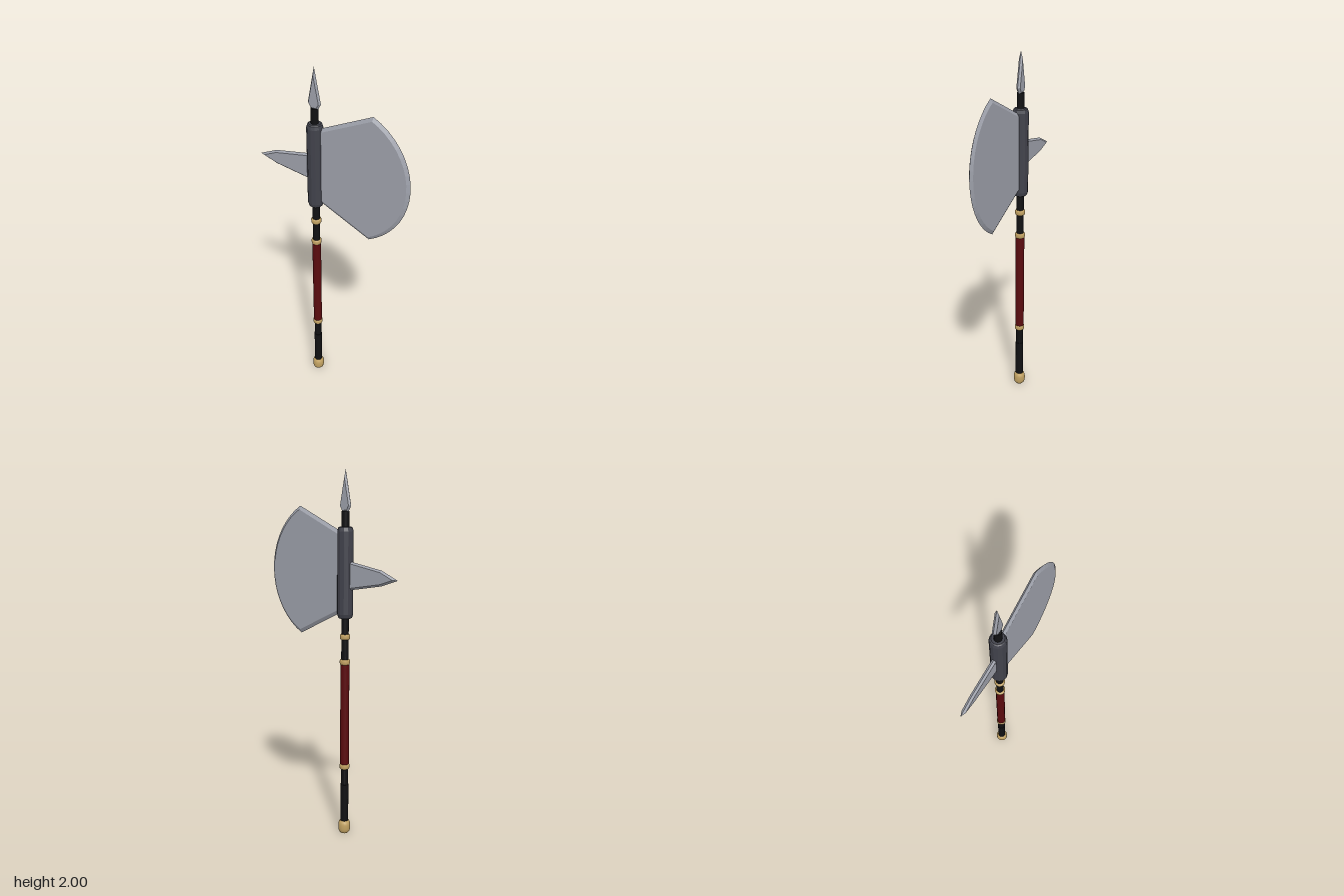
import * as THREE from 'three';

const material = (name, color, flatShading = false) => {
  const m = new THREE.MeshStandardMaterial({ color, flatShading });
  m.name = name;
  return m;
};

// Flat plate from a convex counter-clockwise outline, bevelled to a sharp rim at z = 0
function bevelledPlate(outline, inset, half) {
  const n = outline.length;
  const pts = outline.map(([x, y]) => new THREE.Vector2(x, y));
  const inner = pts.map((p, i) => {
    const a = p.clone().sub(pts[(i + n - 1) % n]).normalize();
    const b = pts[(i + 1) % n].clone().sub(p).normalize();
    const na = new THREE.Vector2(-a.y, a.x);
    const nb = new THREE.Vector2(-b.y, b.x);
    const miter = na.clone().add(nb);
    return miter.multiplyScalar(inset / (1 + na.dot(nb))).add(p);
  });
  const centre = inner.reduce((s, p) => s.add(p), new THREE.Vector2()).divideScalar(n);
  const pos = [];
  const tri = (a, b, c) => pos.push(...a, ...b, ...c);
  for (let i = 0; i < n; i++) {
    const j = (i + 1) % n;
    for (const s of [1, -1]) {
      const [k, l] = s > 0 ? [i, j] : [j, i];
      const o1 = [pts[k].x, pts[k].y, 0], o2 = [pts[l].x, pts[l].y, 0];
      const i1 = [inner[k].x, inner[k].y, s * half], i2 = [inner[l].x, inner[l].y, s * half];
      tri(o1, o2, i2);
      tri(o1, i2, i1);
      tri([centre.x, centre.y, s * half], i1, i2);
    }
  }
  const g = new THREE.BufferGeometry();
  g.setAttribute('position', new THREE.Float32BufferAttribute(pos, 3));
  g.computeVertexNormals();
  return g;
}

export function createModel() {
  const root = new THREE.Group();
  root.name = 'halberd';
  const steel = material('steel', 0x9fa2ac, true);
  const iron = material('dark iron', 0x41424b, true);
  const wood = material('black wood', 0x101012);
  const leather = material('red leather', 0x5a0b0e);
  const brass = material('brass', 0xc2a262);
  const axis = -0.1;

  const add = (name, geometry, mat, x = 0, y = 0) => {
    const mesh = new THREE.Mesh(geometry, mat);
    mesh.name = name;
    mesh.position.set(x, y, 0);
    root.add(mesh);
  };
  const rod = (name, r, y0, y1, mat) =>
    add(name, new THREE.CylinderGeometry(r, r, y1 - y0, 16), mat, axis, (y0 + y1) / 2);
  const turned = (name, profile, mat, y = 0, sides = 16) =>
    add(name, new THREE.LatheGeometry(profile.map(([r, h]) => new THREE.Vector2(r, h)), sides), mat, axis, y);

  // Shaft and grip
  rod('shaft', 0.02, 0.05, 1.79, wood);
  rod('lowerShaft', 0.0225, 0.05, 0.29, wood);
  rod('grip', 0.0245, 0.4, 0.985, leather);

  // Brass bands and pommel
  for (const y of [0.397, 0.992, 1.13]) {
    turned('band', [[0.018, -0.014], [0.025, -0.014], [0.028, -0.007], [0.028, 0.007],
      [0.025, 0.014], [0.018, 0.014]], brass, y);
  }
  turned('pommel', [[0, 0], [0.022, 0], [0.03, 0.009], [0.034, 0.025], [0.034, 0.05],
    [0.03, 0.066], [0.022, 0.074], [0, 0.074]], brass);

  // Collar holding the head
  turned('collar', [[0, 1.23], [0.032, 1.23], [0.038, 1.235], [0.043, 1.253], [0.043, 1.687],
    [0.038, 1.705], [0.032, 1.71], [0, 1.71]], iron, 0, 12);

  // Axe blade with a curved cutting edge
  const blade = [[axis, 1.672], [axis, 1.272]];
  const cx = 0.043, cy = 1.468, radius = 0.394, sweep = Math.atan2(0.351, 0.179), steps = 18;
  for (let i = 0; i <= steps; i++) {
    const a = -sweep + (2 * sweep * i) / steps;
    blade.push([cx + radius * Math.cos(a), cy + radius * Math.sin(a)]);
  }
  add('axeBlade', bevelledPlate(blade, 0.018, 0.011), steel);

  // Rear spike
  add('rearSpike', bevelledPlate([[axis, 1.538], [-0.34, 1.495], [-0.44, 1.45], [-0.34, 1.416],
    [axis, 1.376]], 0.01, 0.011), steel);

  // Spear point
  add('spearPoint', bevelledPlate([[axis, 2], [axis - 0.037, 1.815], [axis - 0.02, 1.785],
    [axis + 0.02, 1.785], [axis + 0.037, 1.815]], 0.008, 0.011), steel);

  return root;
}
